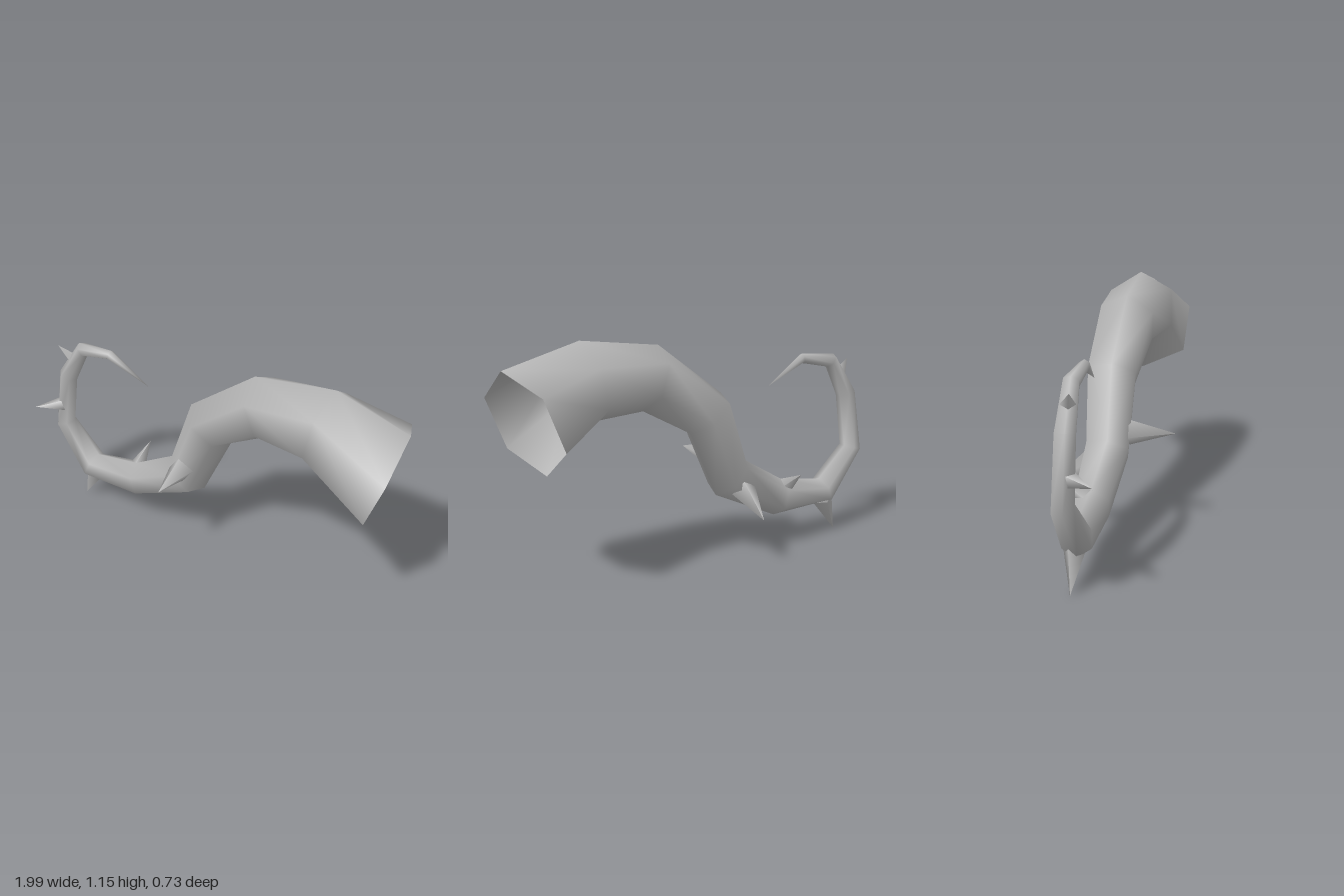
import * as THREE from 'three';

// Cross-sections along the tentacle, root to tip: x, y, z, radius
const RINGS = [
  [0.91, 0.825, 0.14, 0.25],
  [0.608, 0.97, 0.085, 0.187],
  [0.305, 0.952, 0.0, 0.153],
  [0.022, 0.753, -0.08, 0.132],
  [-0.11, 0.418, -0.105, 0.116],
  [-0.408, 0.255, -0.18, 0.093],
  [-0.715, 0.23, -0.24, 0.076],
  [-0.89, 0.442, -0.288, 0.055],
  [-0.845, 0.74, -0.275, 0.05],
  [-0.735, 0.922, -0.25, 0.038],
  [-0.56, 0.948, -0.2, 0.025],
];
const TIP = [-0.34, 0.835, -0.16];
const SIDES = 6;

// Spines: base centre, point, base radius
const SPINES = [
  [[-0.105, 0.505, 0.0], [-0.135, 0.505, 0.22], 0.066],
  [[-0.13, 0.36, -0.19], [-0.08, 0.258, -0.36], 0.062],
  [[-0.44, 0.305, -0.2], [-0.412, 0.4, -0.325], 0.045],
  [[-0.712, 0.185, -0.25], [-0.79, 0.005, -0.27], 0.055],
  [[-0.885, 0.565, -0.262], [-1.0, 0.57, -0.17], 0.04],
  [[-0.805, 0.85, -0.262], [-0.88, 0.915, -0.255], 0.034],
];

// Hexagonal tube, open at the root and pointed at the tip
function tentacleGeometry() {
  const centres = [...RINGS, TIP].map(([x, y, z]) => new THREE.Vector3(x, y, z));
  const step = (i) => centres[i + 1].clone().sub(centres[i]).normalize();
  const pos = [], index = [];
  RINGS.forEach((ring, i) => {
    const t = (i ? step(i).add(step(i - 1)) : new THREE.Vector3(-1, 0.33, 0)).normalize();
    const b = new THREE.Vector3(0, 0, 1).addScaledVector(t, -t.z).normalize();
    const n = t.clone().cross(b);
    const roll = i ? 0 : 0.15;
    for (let j = 0; j < SIDES; j++) {
      const a = roll + (j / SIDES) * Math.PI * 2;
      const p = centres[i].clone()
        .addScaledVector(n, ring[3] * Math.cos(a))
        .addScaledVector(b, ring[3] * Math.sin(a));
      pos.push(p.x, p.y, p.z);
    }
  });
  pos.push(...TIP);
  const last = RINGS.length - 1;
  for (let i = 0; i <= last; i++) {
    for (let j = 0; j < SIDES; j++) {
      const a = i * SIDES + j, b = i * SIDES + ((j + 1) % SIDES);
      if (i === last) index.push(a, RINGS.length * SIDES, b);
      else index.push(a, a + SIDES, b, b, a + SIDES, b + SIDES);
    }
  }
  const g = new THREE.BufferGeometry();
  g.setAttribute('position', new THREE.Float32BufferAttribute(pos, 3));
  g.setIndex(index);
  g.computeVertexNormals();
  return g;
}

// Four-sided spine standing from its base to its point
function makeSpine(base, point, radius, material) {
  const from = new THREE.Vector3(...base);
  const dir = new THREE.Vector3(...point).sub(from);
  const length = dir.length();
  const g = new THREE.ConeGeometry(radius, length, 4, 1, true);
  g.translate(0, length / 2, 0);
  const mesh = new THREE.Mesh(g, material);
  mesh.position.copy(from);
  mesh.quaternion.setFromUnitVectors(new THREE.Vector3(0, 1, 0), dir.normalize());
  mesh.name = 'spine';
  return mesh;
}

export function createModel() {
  const grey = new THREE.MeshStandardMaterial({ color: 0xb4b4b4, side: THREE.DoubleSide });
  grey.name = 'grey';

  const model = new THREE.Group();
  model.name = 'spinedTentacle';

  const tentacle = new THREE.Mesh(tentacleGeometry(), grey);
  tentacle.name = 'tentacle';
  model.add(tentacle);

  const spines = new THREE.Group();
  spines.name = 'spines';
  for (const [base, point, radius] of SPINES) spines.add(makeSpine(base, point, radius, grey));
  model.add(spines);

  return model;
}
